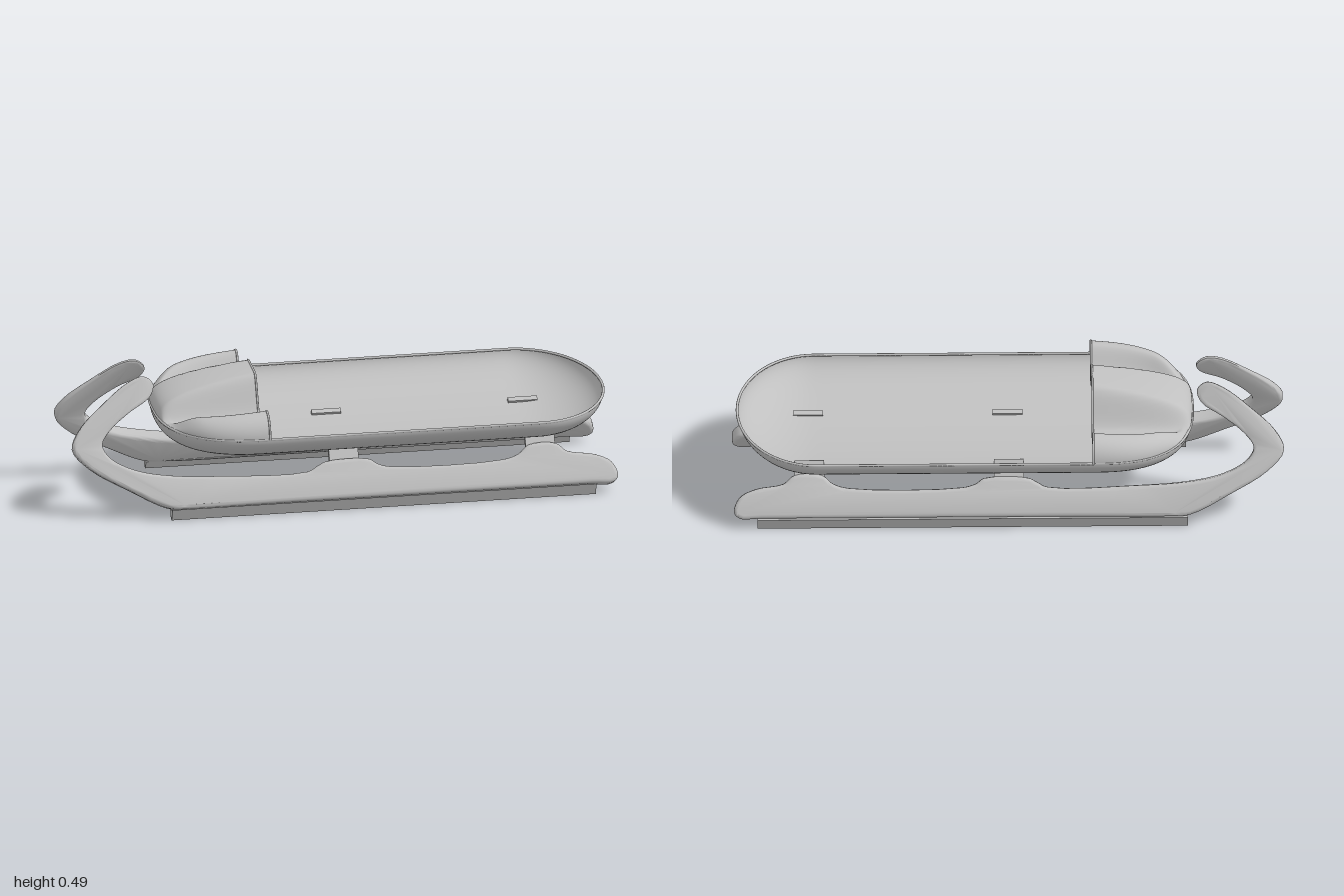
import * as THREE from 'three';
import { mergeVertices, toCreasedNormals } from 'three/addons/utils/BufferGeometryUtils.js';

const RIM = 0.33, HALF_WIDTH = 0.39, DEPTH = 0.138;
const { clamp, lerp, smoothstep } = THREE.MathUtils;

// Plan taper of the pod: 1 along the middle, 0 at nose and tail
function taper(x) {
  if (x < -0.3) return Math.pow(Math.max(0, 1 - Math.pow((-0.3 - x) / 0.37, 2.6)), 1 / 2.6);
  if (x > 0.7) return Math.sqrt(Math.max(0, 1 - Math.pow((x - 0.7) / 0.285, 2)));
  return 1;
}

// Smooth indexed grid from a function of (u, v), both 0..1
function grid(nu, nv, fn) {
  const pos = [], idx = [];
  for (let i = 0; i <= nu; i++) for (let j = 0; j <= nv; j++) pos.push(...fn(i / nu, j / nv));
  for (let i = 0; i < nu; i++) for (let j = 0; j < nv; j++) {
    const a = i * (nv + 1) + j, b = a + nv + 1;
    idx.push(a, a + 1, b, b, a + 1, b + 1);
  }
  const g = new THREE.BufferGeometry();
  g.setAttribute('position', new THREE.Float32BufferAttribute(pos, 3));
  g.setIndex(idx);
  g.computeVertexNormals();
  return g;
}

// Position along the length, with rows gathered at both ends
const alongPod = (u) => 0.1575 - 0.8275 * Math.cos(Math.PI * u);

// Half-elliptical bowl
function bowlGeometry() {
  return grid(80, 40, (u, v) => {
    const x = alongPod(u), f = taper(x), a = Math.PI * v;
    return [x, RIM - DEPTH * f * Math.sin(a), HALF_WIDTH * f * Math.cos(a)];
  });
}

// Height of the front hood: a central hump, two leg channels, two side shoulders
function hoodHeight(x, v) {
  const w = HALF_WIDTH * taper(x), z = Math.abs(v * w), av = Math.abs(v);
  const nose = Math.pow(clamp((x + 0.67) / 0.37, 0, 1), 0.35);
  const a = lerp(0.1, 0.068, clamp((x + 0.67) / 0.37, 0, 1));
  const hump = (1 - smoothstep(z, a, 0.165)) * Math.pow(Math.max(0, 1 - v * v), 0.4);
  const outer = Math.sqrt(Math.max(0, 1 - Math.pow((av - 0.81) / 0.19, 2)));
  const shoulder = (av < 0.81 ? smoothstep(av, 0.62, 0.81) : outer) * smoothstep(w, 0.2, 0.34);
  return RIM + nose * (0.143 * hump + 0.084 * shoulder);
}
const hoodPoint = (x, v) => [x, hoodHeight(x, v), HALF_WIDTH * taper(x) * v];

function hoodGeometry() {
  return grid(40, 96, (u, v) => hoodPoint(-0.67 + 0.368 * u * u, -Math.cos(Math.PI * v)));
}

// Centre plane of a runner: leans inwards, more upright at the horn
const lean = (x) => lerp(0.40, 0.57, smoothstep(x, -0.8, -0.4));
const planeZ = (x, y) => 0.29 - lean(x) * y;

// Side outline of a runner with its curled horn
const OUTLINE = [
  [0.98, 0.035], [0.9, 0.035], [0.3, 0.035], [-0.2, 0.035], [-0.58, 0.035], [-0.66, 0.042],
  [-0.8, 0.11], [-0.94, 0.19], [-1, 0.26], [-0.97, 0.325], [-0.88, 0.405], [-0.78, 0.475],
  [-0.72, 0.49], [-0.685, 0.46], [-0.70, 0.42], [-0.78, 0.375], [-0.86, 0.315], [-0.89, 0.27],
  [-0.865, 0.225], [-0.78, 0.18], [-0.65, 0.15], [-0.48, 0.133], [-0.14, 0.128], [-0.1, 0.145],
  [-0.07, 0.157], [0.09, 0.157], [0.12, 0.14], [0.17, 0.128], [0.58, 0.128], [0.64, 0.143],
  [0.68, 0.17], [0.78, 0.17], [0.82, 0.143], [0.92, 0.127], [0.98, 0.1], [1, 0.055],
];

function runnerGeometry(side) {
  const curve = new THREE.CatmullRomCurve3(
    OUTLINE.map(([x, y]) => new THREE.Vector3(x, y, 0)), true, 'centripetal');
  const pts = curve.getPoints(OUTLINE.length * 4).slice(0, -1);
  let g = new THREE.ExtrudeGeometry(new THREE.Shape(pts.map((p) => new THREE.Vector2(p.x, p.y))), {
    depth: 0.03, bevelEnabled: true, bevelThickness: 0.013, bevelSize: 0.012,
    bevelOffset: -0.012, bevelSegments: 3,
  });
  g.translate(0, 0, -0.015);
  const p = g.attributes.position;
  for (let i = 0; i < p.count; i++) {
    const x = p.getX(i), y = p.getY(i), m = lean(x), n = Math.hypot(1, m);
    // thinner towards the horn tip
    const t = p.getZ(i) * lerp(1, 0.28, smoothstep(y, 0.15, 0.46));
    p.setXYZ(i, x, y + side * t * m / n, side * planeZ(x, y) + t / n);
  }
  g.deleteAttribute('normal');
  g.deleteAttribute('uv');
  g = mergeVertices(g, 1e-5);
  return toCreasedNormals(g, 0.7);
}

// Steel edge under a runner: a prism narrowing downwards
function bladeGeometry(side) {
  const s = new THREE.Shape([[0.302, 0.046], [0.284, 0], [0.264, 0], [0.25, 0.03]]
    .map(([z, y]) => new THREE.Vector2(-side * z, y)));
  const g = new THREE.ExtrudeGeometry(s, { depth: 1.565, bevelEnabled: false });
  g.rotateY(Math.PI / 2);
  g.translate(-0.65, 0, 0);
  return g;
}

export function createModel() {
  const sled = new THREE.Group();
  sled.name = 'sled';
  const grey = new THREE.MeshStandardMaterial({ color: 0xc0c0c0 });
  grey.name = 'grey';
  const greyShell = new THREE.MeshStandardMaterial({ color: 0xc0c0c0, side: THREE.DoubleSide });
  greyShell.name = 'greyShell';
  const add = (name, geometry, material = grey) => {
    const mesh = new THREE.Mesh(geometry, material);
    mesh.name = name;
    sled.add(mesh);
    return mesh;
  };

  // Pod
  add('bowl', bowlGeometry(), greyShell);
  add('hood', hoodGeometry(), greyShell);

  // Rolled edges of the bowl and the hood opening
  const rim = [], lip = [];
  for (let i = 0; i < 120; i++) {
    const a = (i / 120) * Math.PI * 2, x = alongPod(i < 60 ? i / 60 : 2 - i / 60);
    rim.push(new THREE.Vector3(x, RIM - 0.002, Math.sign(Math.sin(a)) * (HALF_WIDTH - 0.003) * taper(x)));
  }
  for (let i = 0; i <= 64; i++) lip.push(new THREE.Vector3(...hoodPoint(-0.305, -Math.cos(Math.PI * i / 64))));
  add('bowlRim', new THREE.TubeGeometry(new THREE.CatmullRomCurve3(rim, true), 240, 0.005, 8, true));
  add('hoodLip', new THREE.TubeGeometry(new THREE.CatmullRomCurve3(lip), 160, 0.004, 8));

  // Runners, blades and the tabs that hold the pod
  for (const side of [1, -1]) {
    const label = side > 0 ? 'Left' : 'Right';
    add('runner' + label, runnerGeometry(side));
    add('blade' + label, bladeGeometry(side));
    for (const [name, x] of [['frontTab', 0], ['rearTab', 0.725]]) {
      const tab = add(name + label, new THREE.BoxGeometry(0.108, 0.095, 0.019));
      tab.position.set(x, 0.176, side * planeZ(x, 0.176));
      tab.rotation.x = -side * Math.atan(0.57);
    }
  }
  return sled;
}
